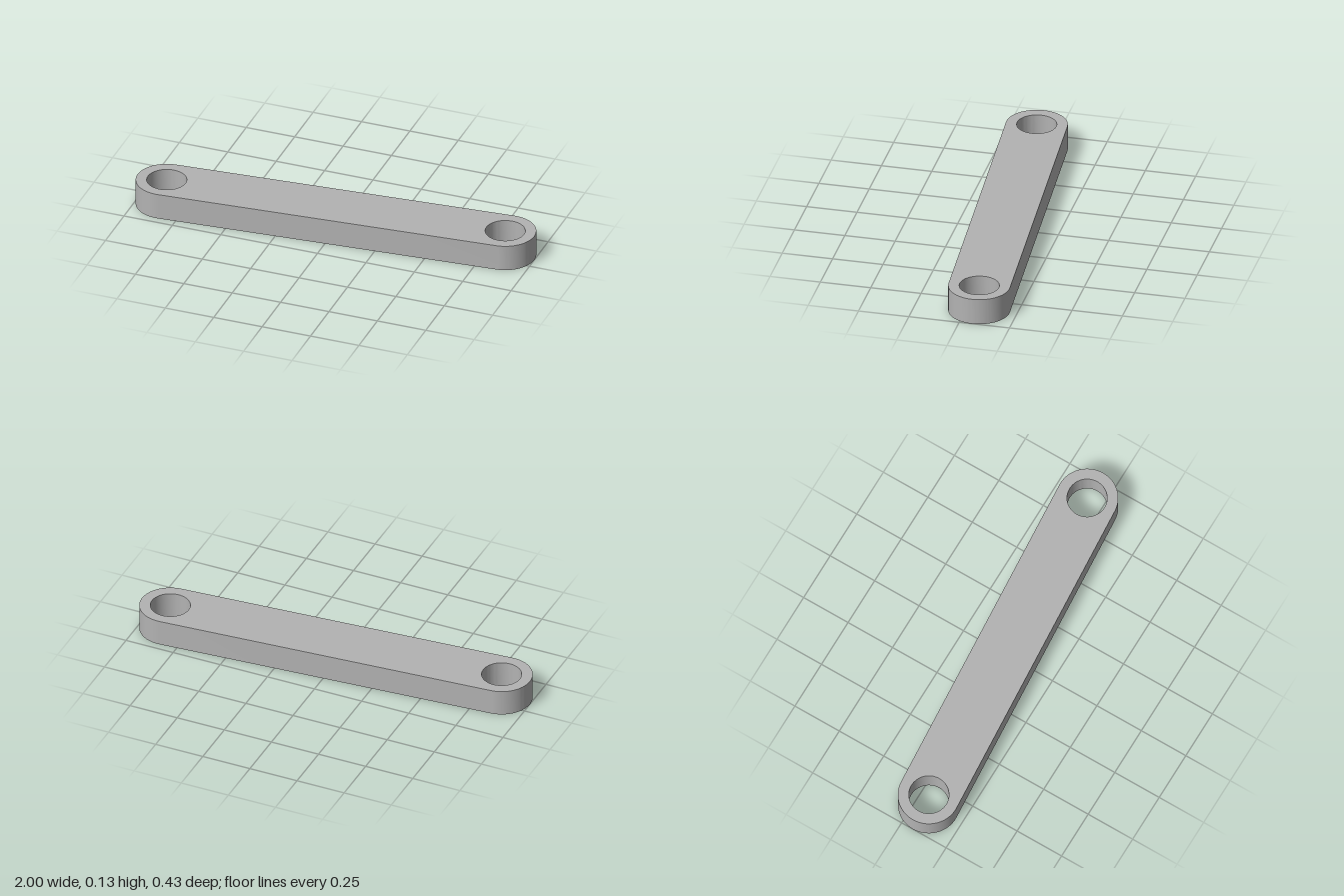
import * as THREE from 'three';
import { toCreasedNormals } from 'three/addons/utils/BufferGeometryUtils.js';

export function createModel() {
  const model = new THREE.Group();
  model.name = 'linkArm';

  const metal = new THREE.MeshStandardMaterial({ color: 0xb3b3b3 });
  metal.name = 'grey metal';

  const height = 0.133, endRadius = 0.15, holeRadius = 0.097;
  const cx = 0.85, cy = 0.0635; // hole centres at (cx, cy) and (-cx, -cy)
  const angle = Math.atan2(cy, cx);

  // Rounded bar outline, turned slightly in plan
  const outline = new THREE.Shape();
  outline.absarc(cx, cy, endRadius, angle - Math.PI / 2, angle + Math.PI / 2, false);
  outline.absarc(-cx, -cy, endRadius, angle + Math.PI / 2, angle + Math.PI * 1.5, false);
  outline.closePath();

  // Pin hole through each end
  for (const s of [-1, 1]) {
    const hole = new THREE.Path();
    hole.absarc(s * cx, s * cy, holeRadius, 0, Math.PI * 2, true);
    outline.holes.push(hole);
  }

  const geometry = new THREE.ExtrudeGeometry(outline, {
    depth: height, bevelEnabled: false, curveSegments: 32,
  });
  geometry.rotateX(-Math.PI / 2); // lay the bar flat on y = 0

  const bar = new THREE.Mesh(toCreasedNormals(geometry, 0.6), metal);
  bar.name = 'bar';
  model.add(bar);
  return model;
}
